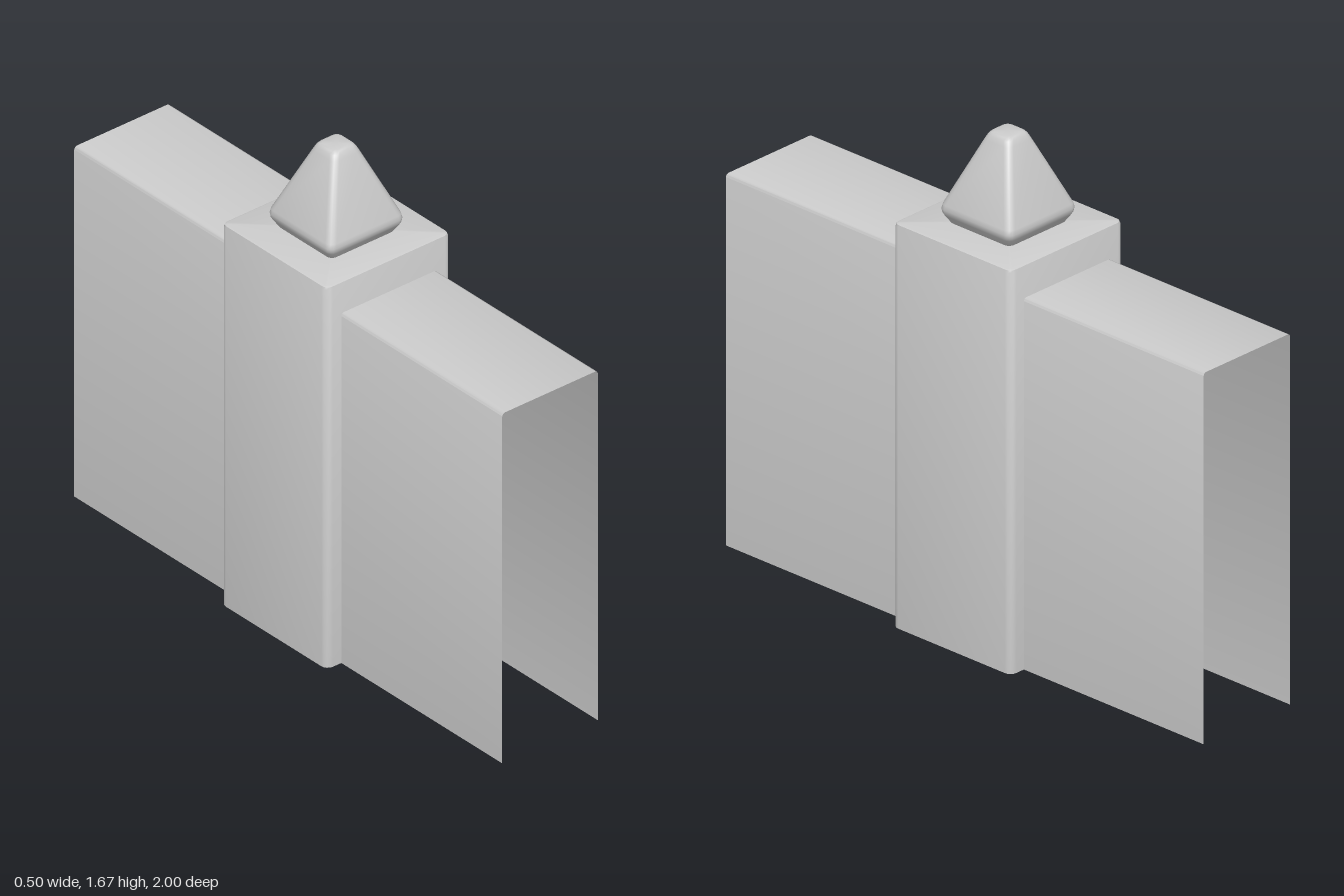
import * as THREE from 'three';
import { toCreasedNormals } from 'three/addons/utils/BufferGeometryUtils.js';

const material = new THREE.MeshStandardMaterial({ color: 0xcccccc, side: THREE.DoubleSide });

// Outline of a square with rounded corners, as [x, z] pairs
function roundedSquare(half, radius, steps = 4) {
  const points = [];
  for (let corner = 0; corner < 4; corner++) {
    const mid = (corner + 0.5) * Math.PI / 2;
    const cx = Math.sign(Math.cos(mid)) * (half - radius);
    const cz = Math.sign(Math.sin(mid)) * (half - radius);
    for (let i = 0; i <= steps; i++) {
      const a = (corner + i / steps) * Math.PI / 2;
      points.push([cx + radius * Math.cos(a), cz + radius * Math.sin(a)]);
    }
  }
  return points;
}

// Stack of rounded squares [y, half width, corner radius], closed on top and open below
function loft(rows) {
  const positions = [], index = [];
  let n = 0;
  for (const [y, half, radius] of rows) {
    const ring = roundedSquare(half, radius);
    n = ring.length;
    for (const [x, z] of ring) positions.push(x, y, z);
  }
  for (let r = 0; r < rows.length - 1; r++) {
    for (let i = 0; i < n; i++) {
      const a = r * n + i, b = r * n + (i + 1) % n;
      index.push(a, a + n, b, b, a + n, b + n);
    }
  }
  const last = (rows.length - 1) * n, center = rows.length * n;
  positions.push(0, rows[rows.length - 1][0], 0);
  for (let i = 0; i < n; i++) index.push(center, last + (i + 1) % n, last + i);
  const geometry = new THREE.BufferGeometry();
  geometry.setAttribute('position', new THREE.Float32BufferAttribute(positions, 3));
  geometry.setIndex(index);
  geometry.computeVertexNormals();
  return toCreasedNormals(geometry, 0.7);
}

// Thin sheet folded over the wall section and run along z; ends and bottom stay open
function wallShell() {
  const section = [[-0.19, 0], [-0.19, 1.24], [-0.187, 1.247], [-0.18, 1.25],
    [0.18, 1.25], [0.187, 1.247], [0.19, 1.24], [0.19, 0]];
  const geometry = new THREE.PlaneGeometry(1, 2, section.length - 1, 1);
  const p = geometry.attributes.position;
  for (let i = 0; i < p.count; i++) {
    const [x, y] = section[i % section.length];
    p.setXYZ(i, x, y, -p.getY(i));
  }
  geometry.computeVertexNormals();
  return toCreasedNormals(geometry, 0.9);
}

export function createModel() {
  const group = new THREE.Group();
  const add = (name, geometry) => {
    const mesh = new THREE.Mesh(geometry, material);
    mesh.name = name;
    group.add(mesh);
  };

  add('wall', wallShell());

  // Square post with softened edges
  add('pillar', loft([
    [0, 0.248, 0.025], [1.35, 0.248, 0.025], [1.357, 0.245, 0.022], [1.36, 0.238, 0.015],
  ]));

  // Blunt pyramid with an undercut base
  add('finial', loft([
    [1.36, 0.128, 0.02], [1.385, 0.143, 0.022], [1.395, 0.148, 0.024], [1.407, 0.15, 0.025],
    [1.422, 0.147, 0.025], [1.64, 0.056, 0.022], [1.655, 0.049, 0.022],
    [1.663, 0.042, 0.02], [1.666, 0.034, 0.016],
  ]));

  return group;
}
